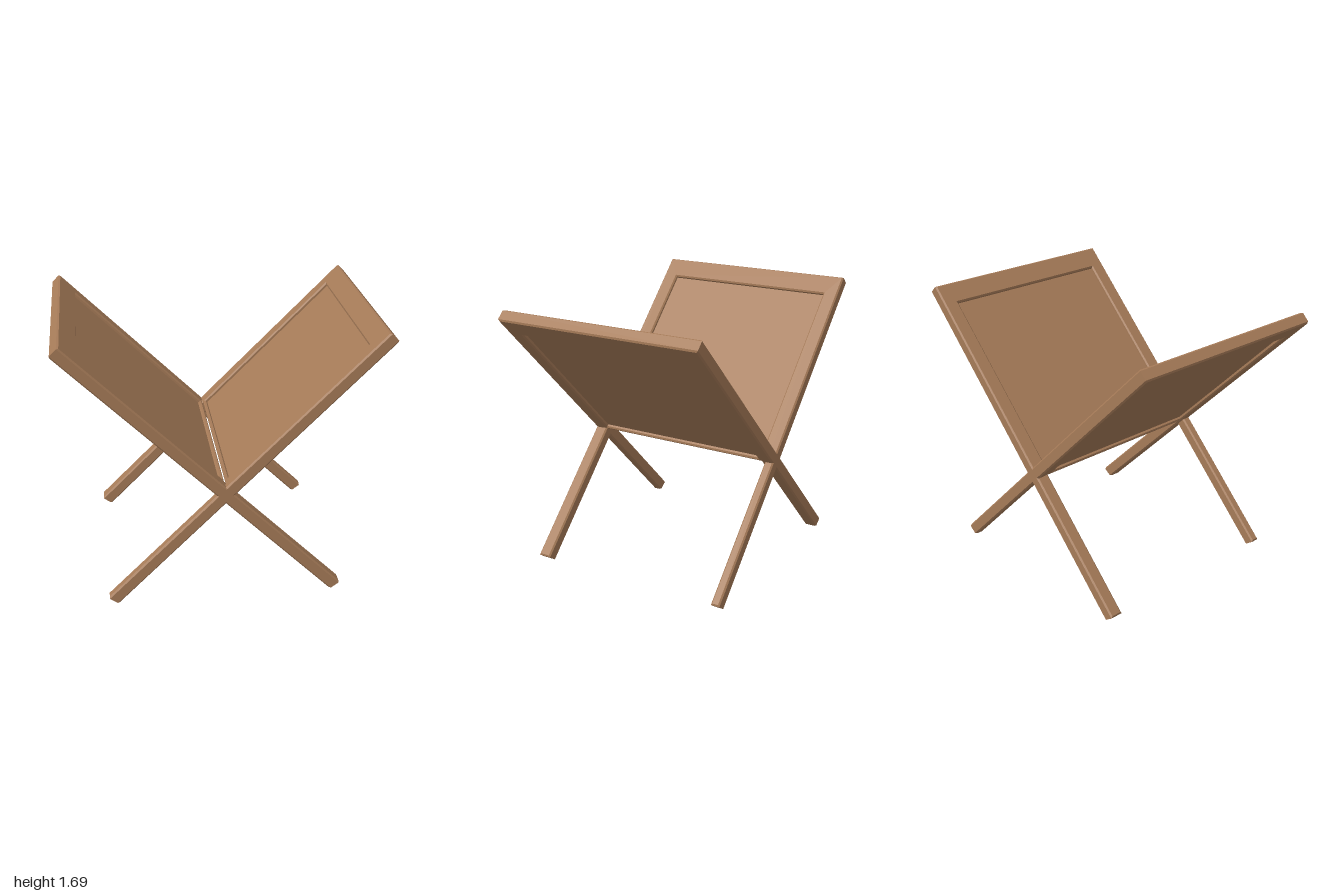
import * as THREE from 'three';

const THICK = 0.076;   // board thickness
const BEVEL = 0.009;   // softened edges
const TOP = 1.355;     // along the board, measured from the crossing
const FOOT = -0.985;
const HALF_W = 0.662;
const PIVOT_Y = 0.71;

const wood = new THREE.MeshStandardMaterial({ color: 0xa67b58 });
wood.name = 'wood';

function polygon(points, Type) {
  return new Type(points.map(([x, y]) => new THREE.Vector2(x, y)));
}

// Framed board with two legs, lying flat: x along the board, y its thickness
function frameGeometry() {
  const b = BEVEL, w = HALF_W - b, rail = 0.036 + b;
  const wideLeg = 0.58 + b, slimLeg = 0.605 + b;
  const outline = polygon([
    [FOOT + b, -w], [TOP - b, -w], [TOP - b, w], [FOOT + b, w],
    [FOOT + b, wideLeg], [rail, wideLeg], [rail, -slimLeg], [FOOT + b, -slimLeg],
  ], THREE.Shape);
  const x0 = 0.062 - b, x1 = 1.212 + b, z = 0.565 + b;
  outline.holes.push(polygon([[x0, -z], [x0, z], [x1, z], [x1, -z]], THREE.Path));

  const geo = new THREE.ExtrudeGeometry(outline, {
    depth: THICK - 2 * b, bevelThickness: b, bevelSize: b, bevelSegments: 1,
  });
  geo.translate(0, 0, b - THICK / 2);
  geo.rotateX(-Math.PI / 2);

  // Trim the feet so they stand flat on the ground once tilted by 45 degrees
  const pos = geo.attributes.position;
  for (let i = 0; i < pos.count; i++) {
    const ground = -PIVOT_Y * Math.SQRT2 - pos.getY(i);
    pos.setX(i, Math.max(pos.getX(i), ground));
  }
  geo.computeVertexNormals();
  return geo;
}

function createBoard(name) {
  const board = new THREE.Group();
  board.name = name;
  const tilted = new THREE.Group();
  tilted.name = 'tiltedBoard';
  tilted.rotation.z = Math.PI / 4;

  const frame = new THREE.Mesh(frameGeometry(), wood);
  frame.name = 'frameWithLegs';

  // Thinner infill, recessed on both faces
  const infill = new THREE.Mesh(new THREE.BoxGeometry(1.17, 0.032, 1.15), wood);
  infill.name = 'recessedPanel';
  infill.position.x = 0.637;

  tilted.add(frame, infill);
  board.add(tilted);
  return board;
}

export function createModel() {
  const model = new THREE.Group();
  model.name = 'foldingStand';

  // Two identical boards crossing in an X, one turned half way round
  const stand = new THREE.Group();
  stand.name = 'crossedBoards';
  stand.position.y = PIVOT_Y;
  stand.rotation.y = 0.029;
  const left = createBoard('leftBoard');
  const right = createBoard('rightBoard');
  right.rotation.y = Math.PI;
  stand.add(left, right);
  model.add(stand);
  return model;
}
